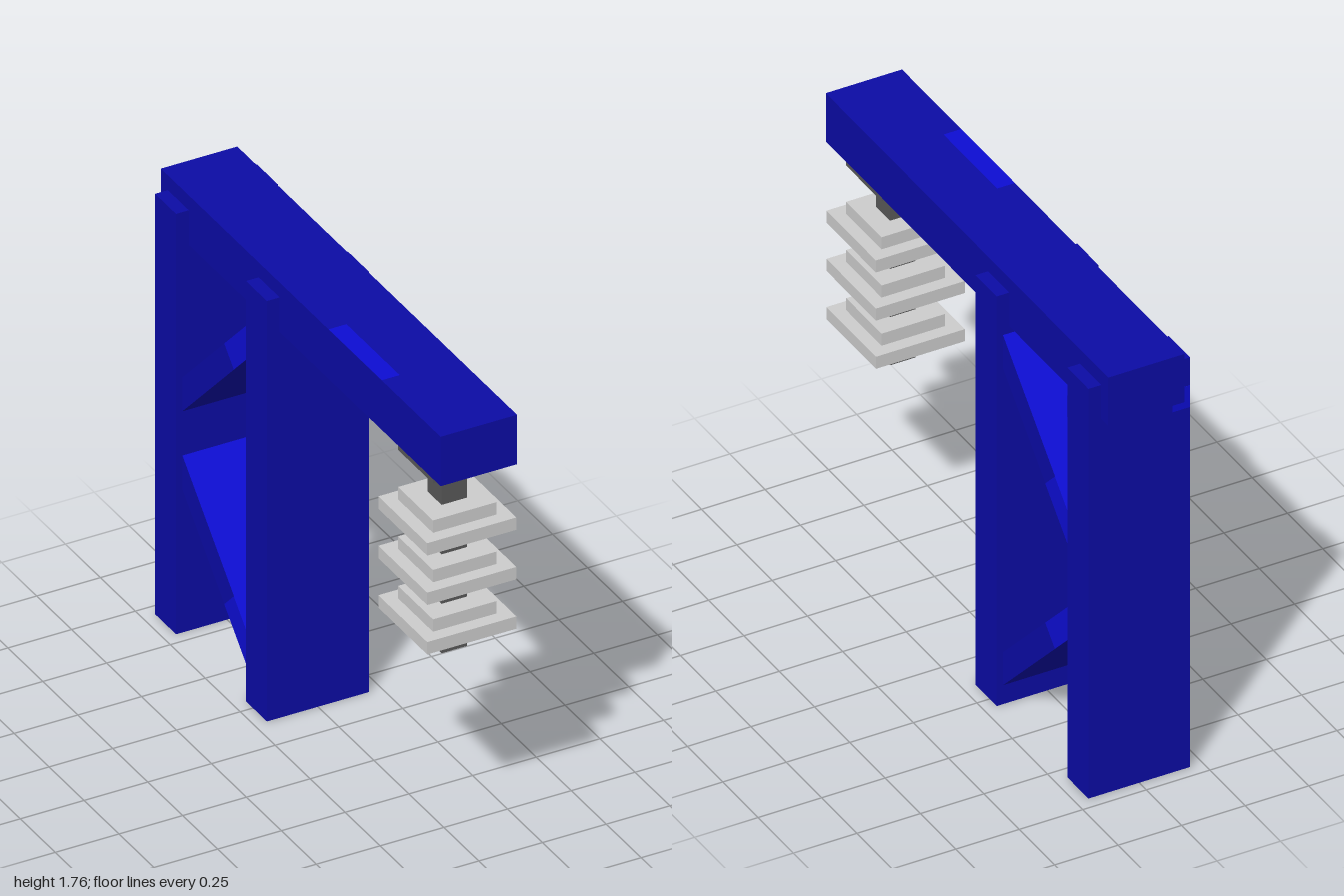
import * as THREE from 'three';

const material = (name, color) => {
  const m = new THREE.MeshStandardMaterial({ color });
  m.name = name;
  return m;
};

export function createModel() {
  const blue = material('deep blue', 0x0b0ba4);
  const bright = material('bright blue', 0x0d0dd2);
  const light = material('light grey', 0xcccccc);
  const dark = material('dark grey', 0x585858);

  const model = new THREE.Group();
  model.name = 'bracketTower';

  const box = (name, mat, w, h, d, x, y, z, parent = model) => {
    const mesh = new THREE.Mesh(new THREE.BoxGeometry(w, h, d), mat);
    mesh.name = name;
    mesh.position.set(x, y, z);
    parent.add(mesh);
    return mesh;
  };

  // Long cantilever beam with a painted patch on top
  box('beam', blue, 0.3, 0.2, 2, 0, 1.66, 0);
  box('beamPatch', bright, 0.07, 0.002, 0.38, -0.115, 1.76, 0.39);

  // Two upright posts, each with a patch on its front and back
  for (const [name, z] of [['frontPost', -0.225], ['rearPost', -0.875]]) {
    box(name, blue, 0.4, 1.7, 0.15, 0, 0.85, z);
    for (const s of [1, -1]) {
      box(name + 'Patch', bright, 0.07, 0.09, 0.002, s * 0.165, 1.54, z + s * 0.075);
    }
  }

  // Diagonal braces between the posts, bright on their upper faces
  for (const [name, y, tilt] of [['upperBrace', 1.213, -1], ['lowerBrace', 0.397, 1]]) {
    const brace = new THREE.Group();
    brace.name = name;
    brace.position.set(0, y, -0.55);
    brace.rotation.x = tilt * Math.PI / 4;
    model.add(brace);
    box(name + 'Slab', [blue, blue, bright, blue, blue, blue], 0.35, 0.097, 0.85, 0, 0, 0, brace);
    for (const s of [1, -1]) {
      box(name + 'Patch', bright, 0.002, 0.097, 0.3, s * 0.175, 0, -s * 0.27, brace);
    }
  }

  // Hanging insulator: mounting plate, rod and three stepped discs
  const insulator = new THREE.Group();
  insulator.name = 'insulator';
  insulator.position.z = 0.775;
  model.add(insulator);
  box('mountingPlate', dark, 0.25, 0.05, 0.25, 0, 1.535, 0, insulator);
  box('rod', dark, 0.1, 0.76, 0.1, 0, 1.14, 0, insulator);
  for (const y of [0.86, 1.06, 1.26]) {
    box('wideDisc', light, 0.35, 0.05, 0.35, 0, y + 0.025, 0, insulator);
    box('narrowDisc', light, 0.25, 0.05, 0.25, 0, y + 0.075, 0, insulator);
  }

  return model;
}
